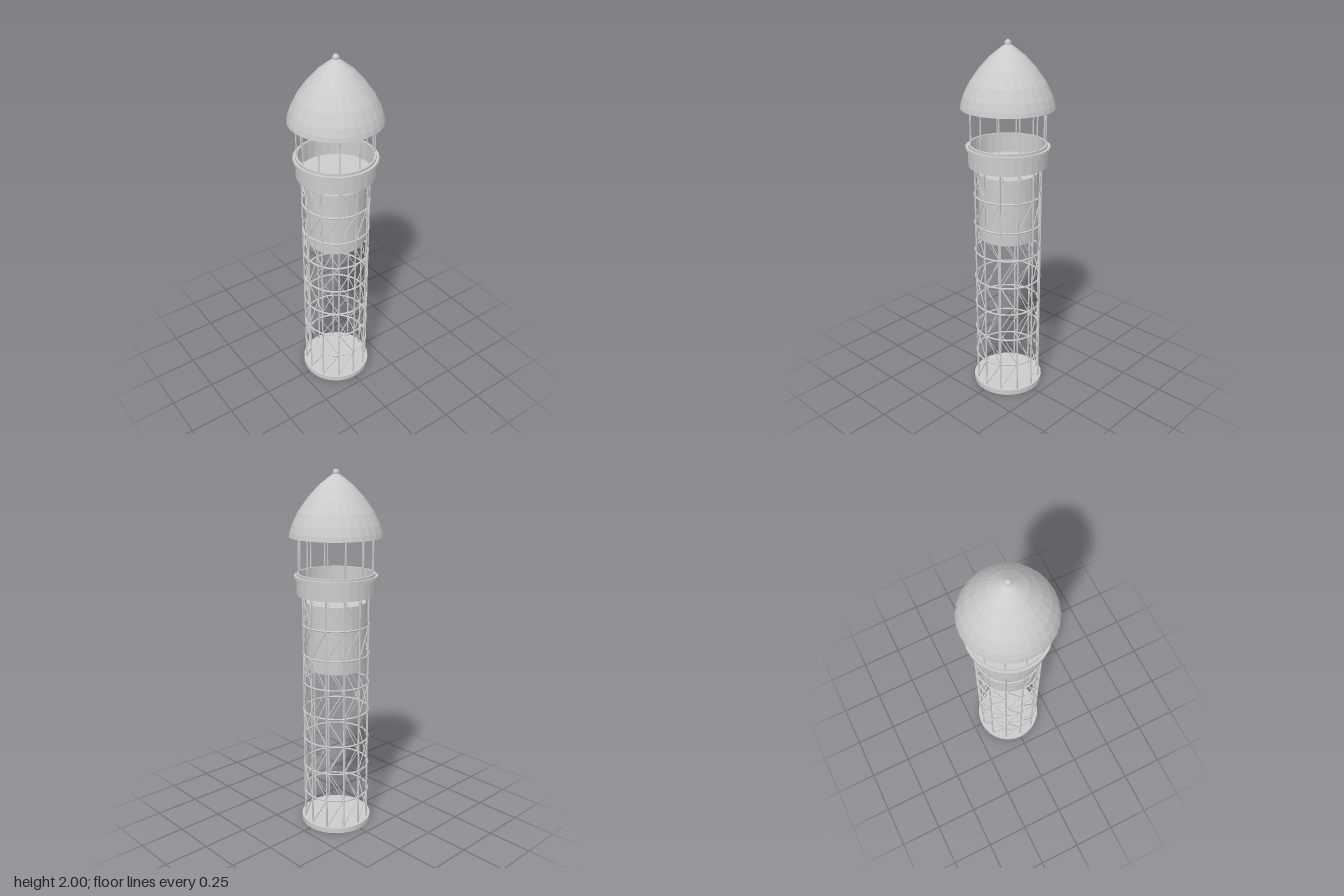
import * as THREE from 'three';

const SIDES = 28;
const material = new THREE.MeshStandardMaterial({ color: 0xcccccc, flatShading: true, side: THREE.DoubleSide });

export function createModel() {
  const tower = new THREE.Group();
  tower.name = 'tower';

  const add = (name, geometry, y = 0, parent = tower) => {
    const mesh = new THREE.Mesh(geometry, material);
    mesh.name = name;
    mesh.position.y = y;
    parent.add(mesh);
    return mesh;
  };
  const group = (name) => {
    const g = new THREE.Group();
    g.name = name;
    tower.add(g);
    return g;
  };
  const disc = (name, r, y0, y1) =>
    add(name, new THREE.CylinderGeometry(r, r, y1 - y0, SIDES), (y0 + y1) / 2);
  const lathe = (name, points) =>
    add(name, new THREE.LatheGeometry(points.map(([r, y]) => new THREE.Vector2(r, y)), SIDES));
  const ring = (name, r, tube, y, parent) =>
    add(name, new THREE.TorusGeometry(r, tube, 6, 36).rotateX(Math.PI / 2), y, parent);
  // Point on a circle, step i of 12
  const at = (i, r, y) => {
    const a = (i * Math.PI) / 6;
    return new THREE.Vector3(r * Math.sin(a), y, r * Math.cos(a));
  };
  // Thin rod between two points
  const rod = (name, a, b, r, parent) => {
    const dir = b.clone().sub(a);
    const mesh = add(name, new THREE.CylinderGeometry(r, r, dir.length(), 6), 0, parent);
    mesh.position.copy(a).add(b).multiplyScalar(0.5);
    mesh.quaternion.setFromUnitVectors(new THREE.Vector3(0, 1, 0), dir.normalize());
  };

  // Base slab and inner tank
  disc('base', 0.2, 0, 0.03);
  disc('tank', 0.163, 0.935, 1.305);

  // Lattice shaft: posts, hoops and diagonal braces
  const lattice = group('lattice');
  const R = 0.183, bottom = 0.03, top = 1.345, levels = 8;
  const step = (top - bottom) / levels;
  for (let i = 0; i < 12; i++) {
    rod('post', at(i, R, bottom), at(i, R, top), 0.005, lattice);
    for (let k = 0; k < levels; k++) {
      const y = bottom + k * step;
      const lean = k % 2;
      rod('brace', at(i + lean, R, y), at(i + 1 - lean, R, y + step), 0.0028, lattice);
    }
  }
  for (let k = 1; k < levels; k++) ring('hoop', R, 0.005, bottom + k * step, lattice);

  // Gallery: open drum with a floor and a stepped rim
  lathe('gallery', [
    [0, 1.345], [0.213, 1.345], [0.213, 1.435], [0.226, 1.435], [0.226, 1.45],
    [0.212, 1.45], [0.212, 1.463], [0.2, 1.463], [0.2, 1.355], [0, 1.355],
  ]);

  // Slim columns carrying the roof
  const columns = group('columns');
  for (let i = 0; i < 12; i++) rod('column', at(i, 0.204, 1.45), at(i, 0.204, 1.66), 0.0042, columns);
  ring('roofRing', 0.204, 0.006, 1.658, columns);

  // Hollow pointed dome
  lathe('roof', [
    [0.25, 1.655], [0.245, 1.68], [0.232, 1.72], [0.2, 1.785],
    [0.15, 1.855], [0.095, 1.915], [0.045, 1.955], [0.004, 1.984],
  ]);

  // Finial
  add('finial', new THREE.SphereGeometry(0.018, 12, 8), 1.982);

  return tower;
}
